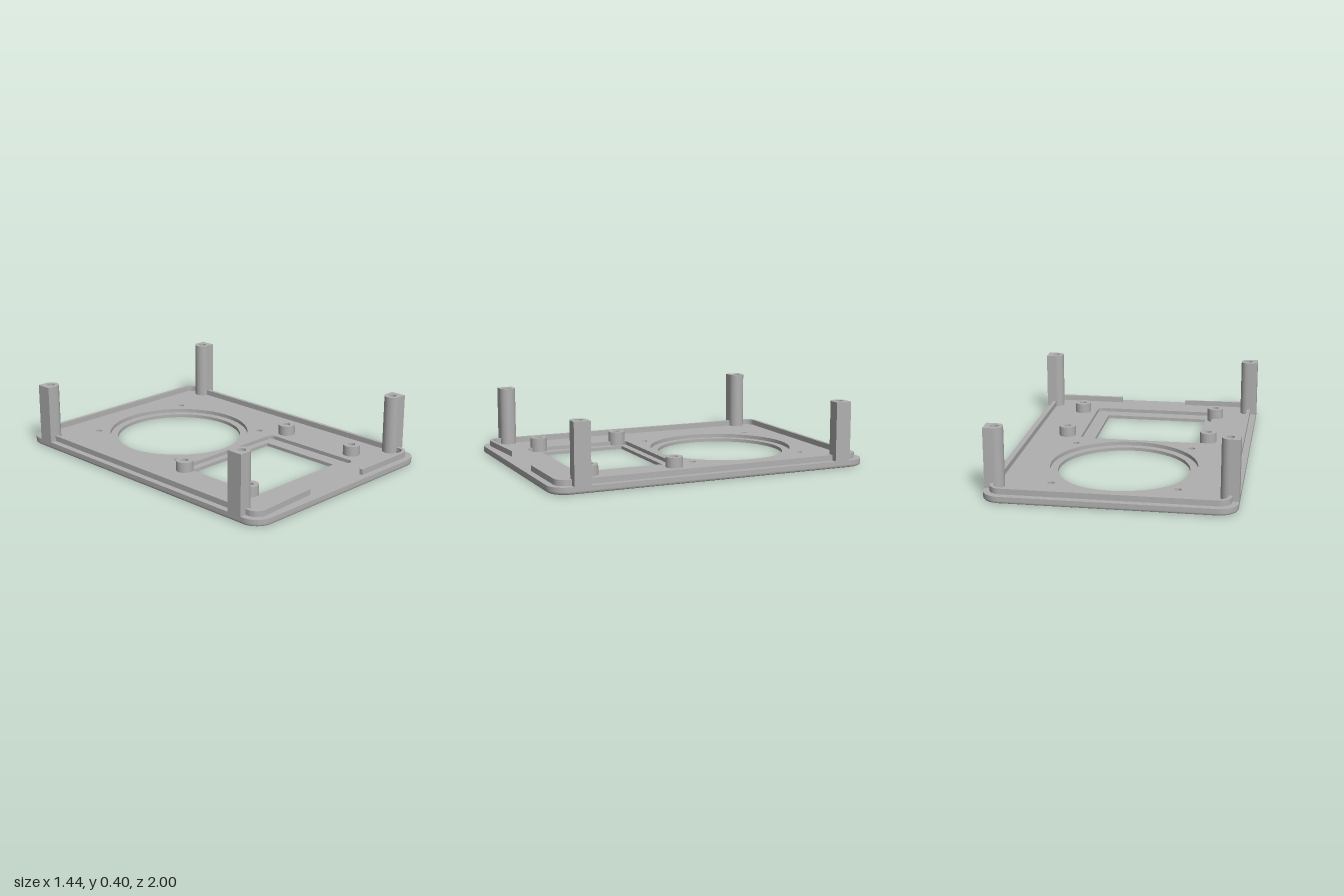
import * as THREE from 'three';
import { toCreasedNormals } from 'three/addons/utils/BufferGeometryUtils.js';

const HALF_W = 0.72, HALF_L = 1, CORNER = 0.11;
const FLOOR = 0.02, DECK = 0.043, LIP_TOP = 0.077, BOSS_TOP = 0.105, POST_TOP = 0.4;
const FILLET = 0.015;

const grey = new THREE.MeshStandardMaterial({ color: 0xb0b0b0 });
grey.name = 'grey plastic';

// Plan outlines: shape x = model x, shape y = -z
function roundedRect(x0, z0, x1, z1, r, Type = THREE.Shape) {
  const s = new Type();
  s.absarc(x1 - r, -z0 - r, r, 0, Math.PI / 2);
  s.absarc(x0 + r, -z0 - r, r, Math.PI / 2, Math.PI);
  s.absarc(x0 + r, -z1 + r, r, Math.PI, Math.PI * 1.5);
  s.absarc(x1 - r, -z1 + r, r, Math.PI * 1.5, Math.PI * 2);
  s.closePath();
  return s;
}

function circle(x, z, r, Type = THREE.Path) {
  return new Type().absarc(x, -z, r, 0, Math.PI * 2);
}

function rectHole(x0, z0, x1, z1) {
  return new THREE.Path().moveTo(x0, -z0).lineTo(x1, -z0).lineTo(x1, -z1).lineTo(x0, -z1).closePath();
}

// Extrude a plan outline upwards from y0 to y1
function slab(shape, y0, y1, steps = 1) {
  const g = new THREE.ExtrudeGeometry(shape, { depth: y1 - y0, steps, curveSegments: 24, bevelEnabled: false });
  g.rotateX(-Math.PI / 2);
  g.translate(0, y0, 0);
  return g;
}

// Pull the outer rim inwards along a quarter circle at the bottom edge
function filletRim(g) {
  const p = g.attributes.position;
  const cx = HALF_W - CORNER, cz = HALF_L - CORNER;
  for (let i = 0; i < p.count; i++) {
    const x = p.getX(i), y = p.getY(i), z = p.getZ(i);
    const d = Math.max(0, FILLET - y);
    const inset = FILLET - Math.sqrt(Math.max(0, FILLET * FILLET - d * d));
    const k = 1 - inset / CORNER;
    const bx = THREE.MathUtils.clamp(x, -cx, cx), bz = THREE.MathUtils.clamp(z, -cz, cz);
    p.setXYZ(i, bx + (x - bx) * k, y, bz + (z - bz) * k);
  }
  return g;
}

export function createModel() {
  const model = new THREE.Group();
  model.name = 'enclosureCover';
  const add = (name, geometry) => {
    const mesh = new THREE.Mesh(toCreasedNormals(geometry, 0.6), grey);
    mesh.name = name;
    model.add(mesh);
  };

  // Lower layer with the through openings
  const lower = roundedRect(-HALF_W, -HALF_L, HALF_W, HALF_L, CORNER);
  lower.holes.push(circle(0, -0.367, 0.395), rectHole(-0.385, 0.153, 0.277, 0.692));
  add('baseLayer', filletRim(slab(lower, 0, FLOOR, 4)));

  // Upper layer with wider recesses and blind screw holes
  const upper = roundedRect(-HALF_W, -HALF_L, HALF_W, HALF_L, CORNER);
  upper.holes.push(circle(0, -0.367, 0.442), roundedRect(-0.435, 0.11, 0.36, 0.78, 0.035, THREE.Path));
  for (const x of [-0.366, 0.366])
    for (const z of [-0.733, 0]) upper.holes.push(circle(x, z, 0.02));
  add('deckLayer', slab(upper, FLOOR, DECK));

  // Locating lip, open in the middle of the front
  const lip = new THREE.Shape();
  const cx = 0.612, cz = 0.89, ro = 0.07, ri = 0.048, gap = 0.22, q = Math.PI / 2;
  const corners = [[-1, -1, 3], [-1, 1, 2], [1, 1, 1], [1, -1, 0]];
  lip.moveTo(-gap, -cz - ro);
  for (const [sx, sy, n] of corners) lip.absarc(sx * cx, sy * cz, ro, n * q, (n - 1) * q, true);
  lip.lineTo(gap, -cz - ro);
  lip.lineTo(gap, -cz - ri);
  for (const [sx, sy, n] of [...corners].reverse()) lip.absarc(sx * cx, sy * cz, ri, (n - 1) * q, n * q, false);
  lip.lineTo(-gap, -cz - ri);
  lip.closePath();
  add('lip', slab(lip, DECK, LIP_TOP));

  // Tall corner posts: flat outside, round inside, bored for screws
  for (const side of [-1, 1]) {
    for (const z of [-0.826, 0.826]) {
      const r = 0.049, x = side * 0.662, edge = side * HALF_W;
      const post = new THREE.Shape();
      post.moveTo(edge, -z - r);
      post.lineTo(edge, -z + r);
      post.absarc(x, -z, r, q, q + side * Math.PI, side < 0);
      post.closePath();
      post.holes.push(circle(x, z, 0.023));
      add('cornerPost', slab(post, DECK, POST_TOP));
    }
  }

  // Short bored bosses around the rectangular opening
  for (const x of [-0.453, 0.452]) {
    for (const z of [0.16, 0.69]) {
      const boss = circle(x, z, 0.052, THREE.Shape);
      boss.holes.push(circle(x, z, 0.022));
      add('screwBoss', slab(boss, FLOOR, BOSS_TOP));
    }
  }
  return model;
}
